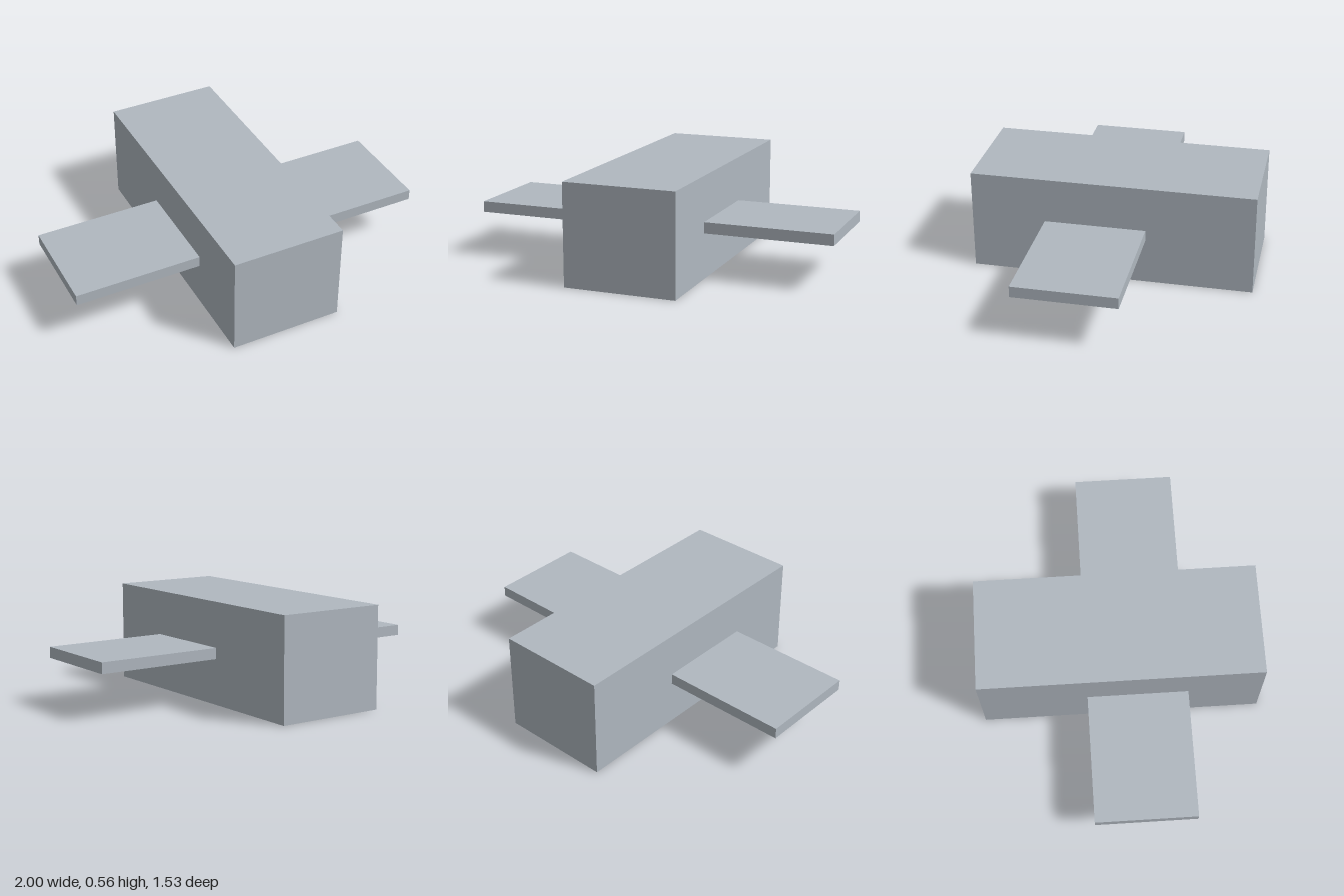
import * as THREE from 'three';

export function createModel() {
  const model = new THREE.Group();
  model.name = 'simpleAircraft';

  const grey = new THREE.MeshStandardMaterial({ color: 0xb0b8c0 });
  grey.name = 'light grey';

  const addBox = (name, size, position) => {
    const mesh = new THREE.Mesh(new THREE.BoxGeometry(...size), grey);
    mesh.name = name;
    mesh.position.set(...position);
    model.add(mesh);
  };

  // Long block body standing on the ground
  const width = 0.615, height = 0.555, length = 1.535;
  addBox('body', [width, height, length], [0, height / 2, 0]);

  // Flat wings at mid height, set slightly forward
  const span = 1 - width / 2;
  for (const [name, side] of [['leftWing', 1], ['rightWing', -1]]) {
    addBox(name, [span, 0.06, 0.55], [side * (width / 2 + span / 2), 0.279, 0.09]);
  }

  return model;
}
